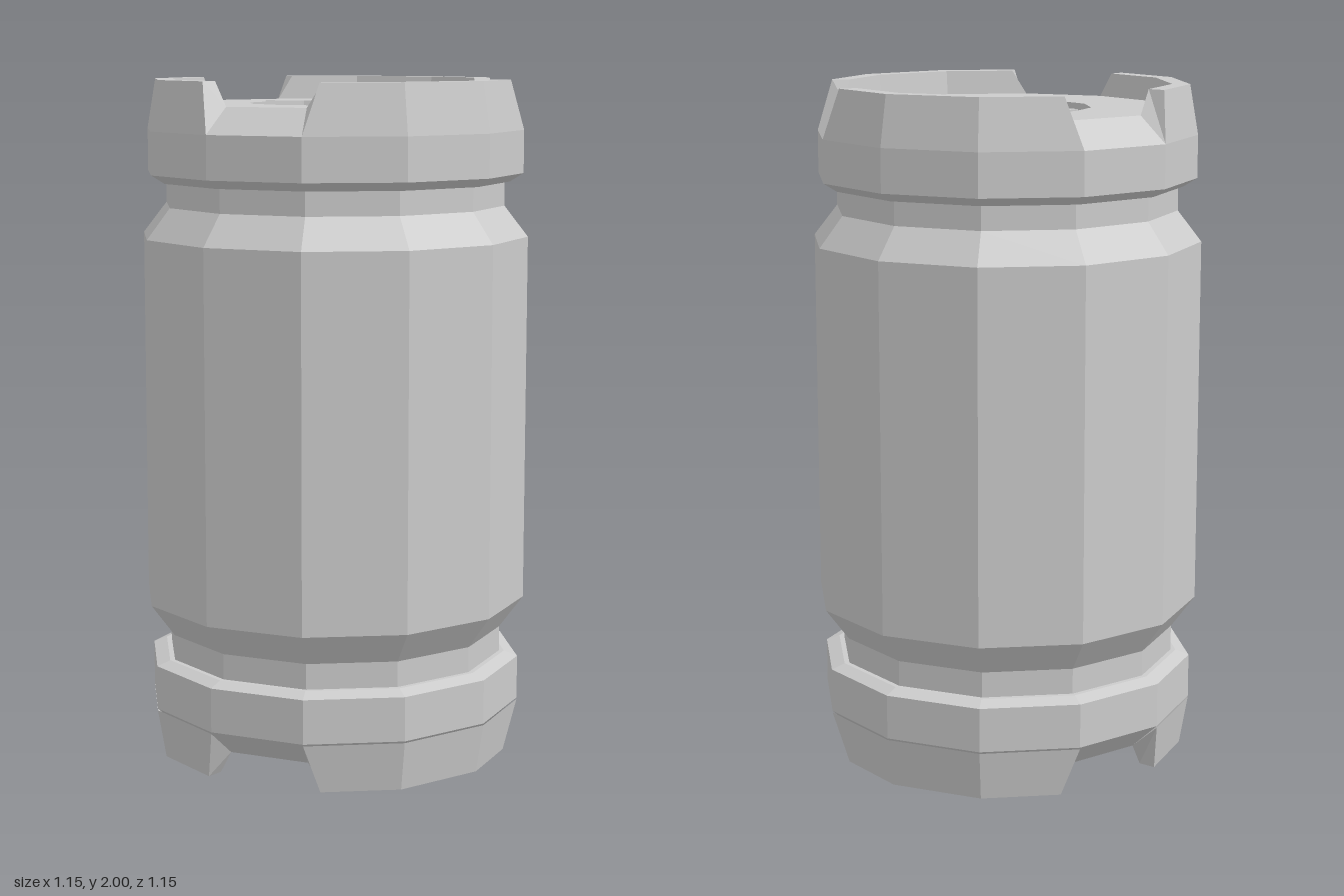
import * as THREE from 'three';

const SIDES = 12;
const material = new THREE.MeshStandardMaterial({ color: 0xcccccc, flatShading: true });

function part(name, geometry) {
  const flat = geometry.index ? geometry.toNonIndexed() : geometry;
  flat.computeVertexNormals();
  const mesh = new THREE.Mesh(flat, material);
  mesh.name = name;
  return mesh;
}

// Twelve-sided turned part from [radius, height] pairs
function turned(name, profile) {
  return part(name, new THREE.LatheGeometry(profile.map(([r, y]) => new THREE.Vector2(r, y)), SIDES));
}

// Raised rim section over three facets; its ends lean back so the notches widen outward
function rimSection(name, startDeg, upsideDown) {
  const section = [[0.56, 1.855], [0.535, 2], [0.483, 2], [0.475, 1.93]];
  const last = 3, lean = 0.045;
  const at = (r, y, i) => {
    const a = THREE.MathUtils.degToRad(startDeg + 30 * i);
    return new THREE.Vector3(r * Math.cos(a), y, r * Math.sin(a));
  };
  const positions = [], index = [];
  for (let i = 0; i <= last; i++) {
    section.forEach(([r, y], j) => {
      const p = at(r, y, i);
      const isTop = j === 1 || j === 2;
      if (isTop && (i === 0 || i === last)) {
        const inward = at(r, y, i === 0 ? 1 : last - 1).sub(p).normalize();
        p.addScaledVector(inward, lean);
      }
      positions.push(p.x, upsideDown ? 2 - p.y : p.y, p.z);
    });
  }
  const quad = (a, b, c, d) => upsideDown
    ? index.push(a, c, b, a, d, c)
    : index.push(a, b, c, a, c, d);
  for (let i = 0; i < last; i++) {
    for (let j = 0; j < 4; j++) {
      const k = (j + 1) % 4;
      quad(i * 4 + j, i * 4 + k, i * 4 + 4 + k, i * 4 + 4 + j);
    }
  }
  quad(3, 2, 1, 0);
  quad(last * 4, last * 4 + 1, last * 4 + 2, last * 4 + 3);
  const geometry = new THREE.BufferGeometry();
  geometry.setAttribute('position', new THREE.Float32BufferAttribute(positions, 3));
  geometry.setIndex(index);
  return part(name, geometry);
}

// Eight-sided rod lying along z
function rod(name, radius, length, y, z) {
  const geometry = new THREE.CylinderGeometry(radius, radius, length, 8);
  geometry.rotateY(Math.PI / 8).rotateX(Math.PI / 2).translate(0, y, z);
  return part(name, geometry);
}

export function createModel() {
  const model = new THREE.Group();
  model.name = 'canister';

  // Shell: underside recess, lower collar, body, upper collar, lid recess
  model.add(turned('shell', [
    [0, 0.19], [0.325, 0.19], [0.39, 0.13], [0.39, 0.07], [0.475, 0.07],
    [0.56, 0.15], [0.56, 0.28], [0.52, 0.295], [0.505, 0.295], [0.505, 0.37],
    [0.575, 0.465], [0.575, 1.545], [0.505, 1.635], [0.505, 1.705],
    [0.52, 1.705], [0.56, 1.73], [0.56, 1.855], [0.475, 1.93],
    [0.25, 1.93], [0.25, 1.815], [0, 1.815],
  ]));

  // Notched rims at both ends
  for (const upsideDown of [false, true]) {
    const rim = new THREE.Group();
    rim.name = upsideDown ? 'lowerRim' : 'upperRim';
    for (const start of [60, 180, 300]) rim.add(rimSection('rimSection', start, upsideDown));
    model.add(rim);
  }

  // Handle bar across the lid recess
  const handle = new THREE.Group();
  handle.name = 'handle';
  const handleY = 1.89;
  handle.add(rod('handleBar', 0.028, 0.3, handleY, 0));
  for (const s of [-1, 1]) handle.add(rod('handleMount', 0.048, 0.105, handleY, s * 0.192));
  model.add(handle);

  return model;
}
